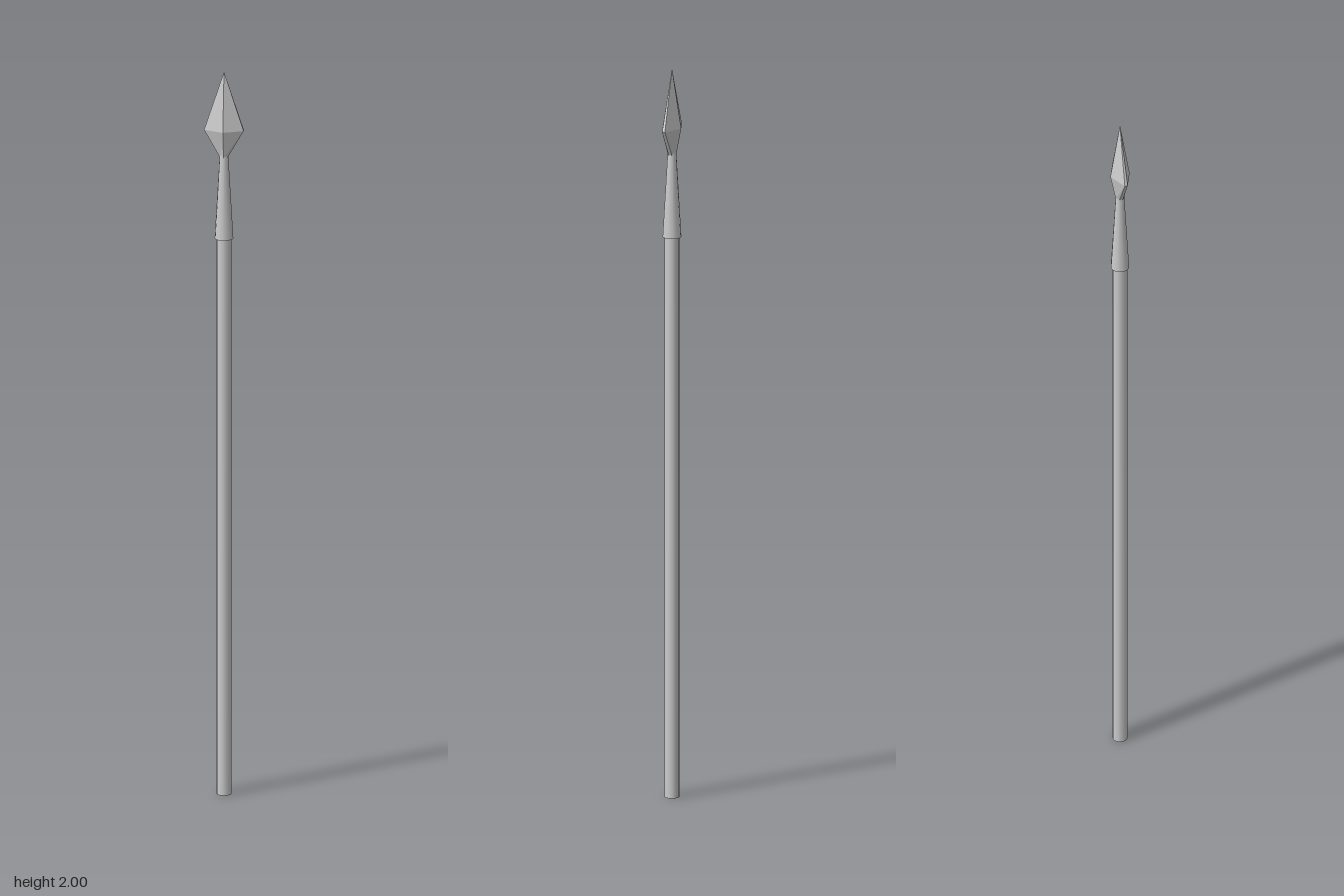
import * as THREE from 'three';

const material = new THREE.MeshStandardMaterial({ color: 0xcccccc });
const flatMaterial = new THREE.MeshStandardMaterial({ color: 0xcccccc, flatShading: true });

// Six-sided blade sections: central ridges front and back, thin side edges
function bladeGeometry(sections) {
  const positions = [], index = [], n = 6;
  for (const [y, w, d, e] of sections) {
    for (const [x, z] of [[0, d], [w, e], [w, -e], [0, -d], [-w, -e], [-w, e]]) positions.push(x, y, z);
  }
  for (let s = 0; s < sections.length - 1; s++) {
    for (let i = 0; i < n; i++) {
      const a = s * n + i, b = s * n + (i + 1) % n;
      index.push(a, b, b + n, a, b + n, a + n);
    }
  }
  // Close the neck end
  for (let i = 1; i < n - 1; i++) index.push(0, i + 1, i);
  const geometry = new THREE.BufferGeometry();
  geometry.setAttribute('position', new THREE.Float32BufferAttribute(positions, 3));
  geometry.setIndex(index);
  geometry.computeVertexNormals();
  return geometry;
}

export function createModel() {
  const group = new THREE.Group();
  const add = (name, geometry, mat, y = 0) => {
    const mesh = new THREE.Mesh(geometry, mat);
    mesh.name = name;
    mesh.position.y = y;
    group.add(mesh);
  };

  // Wooden pole
  add('shaft', new THREE.CylinderGeometry(0.02, 0.02, 1.6, 12), material, 0.8);

  // Tapered socket gripping the pole
  add('socket', new THREE.CylinderGeometry(0.011, 0.025, 0.24, 12), material, 1.66);

  // Diamond-shaped spearhead: [height, half width, half depth, half edge thickness]
  add('blade', bladeGeometry([
    [1.765, 0.010, 0.012, 0.005],
    [1.84, 0.053, 0.027, 0.004],
    [2.0, 0.0005, 0.0005, 0.0002],
  ]), flatMaterial);

  return group;
}
